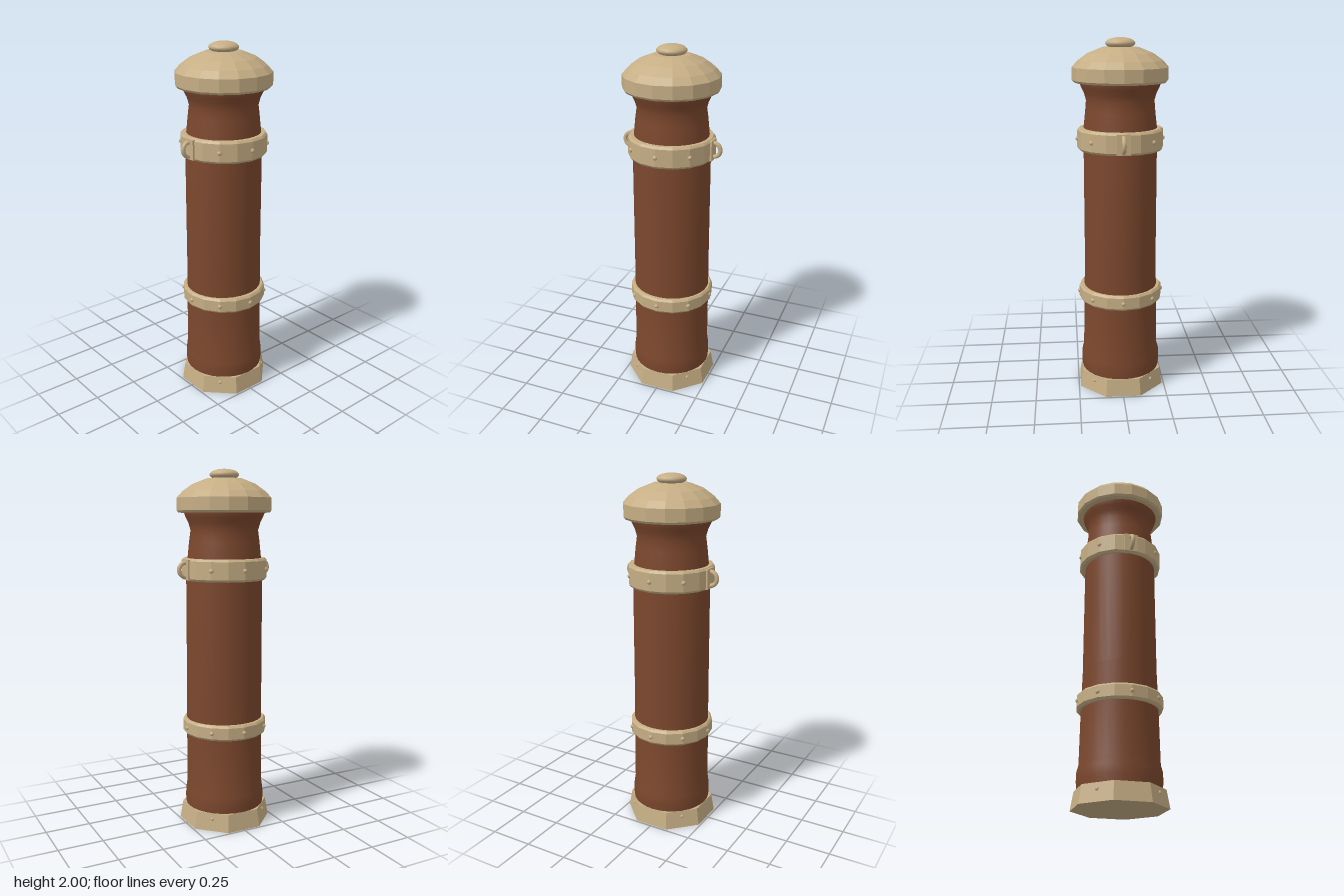
import * as THREE from 'three';
import { toCreasedNormals } from 'three/addons/utils/BufferGeometryUtils.js';

const tan = new THREE.MeshStandardMaterial({ color: 0xc6ae85 });
tan.name = 'tan metal';
const brown = new THREE.MeshStandardMaterial({ color: 0x7b472d });
brown.name = 'brown leather';

// Turned part with faceted faces; profile is [radius, y] from bottom to top
function facetedLathe(profile, sides, start = 0) {
  const points = profile.map(([r, y]) => new THREE.Vector2(r, y));
  const geometry = new THREE.LatheGeometry(points, sides, start).toNonIndexed();
  geometry.computeVertexNormals();
  return geometry;
}

function addMesh(parent, name, geometry, material) {
  const mesh = new THREE.Mesh(geometry, material);
  mesh.name = name;
  parent.add(mesh);
  return mesh;
}

// Smooth, slightly oval tube; rows are [y, x radius, z radius]
function tubeBody() {
  const rows = [
    [0.08, 0.222, 0.222], [0.14, 0.228, 0.226], [0.19, 0.227, 0.222], [0.23, 0.216, 0.217],
    [0.55, 0.21, 0.217], [0.75, 0.204, 0.216], [1.42, 0.203, 0.215],
    [1.52, 0.202, 0.205], [1.61, 0.192, 0.196], [1.67, 0.187, 0.187],
    [1.71, 0.198, 0.198], [1.74, 0.213, 0.213], [1.765, 0.222, 0.222], [1.79, 0.222, 0.222],
  ];
  const geometry = new THREE.LatheGeometry(rows.map(([y, , rz]) => new THREE.Vector2(rz, y)), 32);
  const position = geometry.attributes.position;
  for (let i = 0; i < position.count; i++) {
    const [, rx, rz] = rows[i % rows.length];
    position.setX(i, position.getX(i) * rx / rz);
  }
  return toCreasedNormals(geometry, 0.9);
}

// Band with bevelled edges and eight evenly spaced rivets
function band(name, bottom, top, skipFrontBack) {
  const group = new THREE.Group();
  group.name = name;
  const r = 0.238, bevel = 0.012;
  addMesh(group, 'bandRing', facetedLathe([
    [0.19, bottom], [r - 0.01, bottom], [r, bottom + bevel],
    [r, top - bevel], [r - 0.01, top], [0.19, top],
  ], 16), tan);
  const rivet = new THREE.SphereGeometry(0.013, 10, 8);
  for (let i = 0; i < 8; i++) {
    if (skipFrontBack && i % 4 === 0) continue;
    const a = i * Math.PI / 4;
    addMesh(group, 'rivet', rivet, tan)
      .position.set(0.234 * Math.sin(a), (bottom + top) / 2, 0.234 * Math.cos(a));
  }
  return group;
}

// Half-ring carrying loop on a small backing plate, facing +z
function carryLoop() {
  const group = new THREE.Group();
  group.name = 'carryLoop';
  addMesh(group, 'loopPlate', new THREE.BoxGeometry(0.074, 0.11, 0.025), tan).position.z = 0.228;
  const loop = addMesh(group, 'loop', new THREE.TorusGeometry(0.038, 0.012, 10, 16, Math.PI), tan);
  loop.rotation.set(0, Math.PI / 2, Math.PI / 2, 'XYZ');
  loop.rotation.set(0, 0, 0);
  loop.geometry.rotateZ(-Math.PI / 2).rotateY(-Math.PI / 2);
  loop.position.z = 0.239;
  return group;
}

export function createModel() {
  const model = new THREE.Group();
  model.name = 'scrollCase';

  addMesh(model, 'body', tubeBody(), brown);

  // Eight-sided foot with nails on the diagonal faces
  const k = 1 / Math.cos(Math.PI / 8);
  addMesh(model, 'foot', facetedLathe([
    [0, 0], [0.24 * k, 0], [0.224 * k, 0.1], [0, 0.1],
  ], 8, Math.PI / 8), tan);
  const nail = new THREE.SphereGeometry(0.011, 6, 5);
  for (let i = 0; i < 4; i++) {
    const a = Math.PI / 4 + i * Math.PI / 2;
    addMesh(model, 'footNail', nail, tan)
      .position.set(0.228 * Math.sin(a), 0.066, 0.228 * Math.cos(a));
  }

  model.add(band('lowerBand', 0.525, 0.612, false));
  model.add(band('upperBand', 1.4, 1.52, true));

  // Loops at the front and back
  for (const turn of [0, Math.PI]) {
    const loop = carryLoop();
    loop.position.y = 1.46;
    loop.rotation.y = turn;
    model.add(loop);
  }

  // Domed lid and its smooth knob
  addMesh(model, 'lid', facetedLathe([
    [0, 1.765], [0.252, 1.765], [0.262, 1.777], [0.262, 1.845],
    [0.23, 1.88], [0.176, 1.918], [0.1, 1.948], [0, 1.955],
  ], 16), tan);
  const knob = addMesh(model, 'knob', new THREE.SphereGeometry(0.081, 16, 12), tan);
  knob.scale.y = 0.38;
  knob.position.y = 1.969;

  return model;
}
